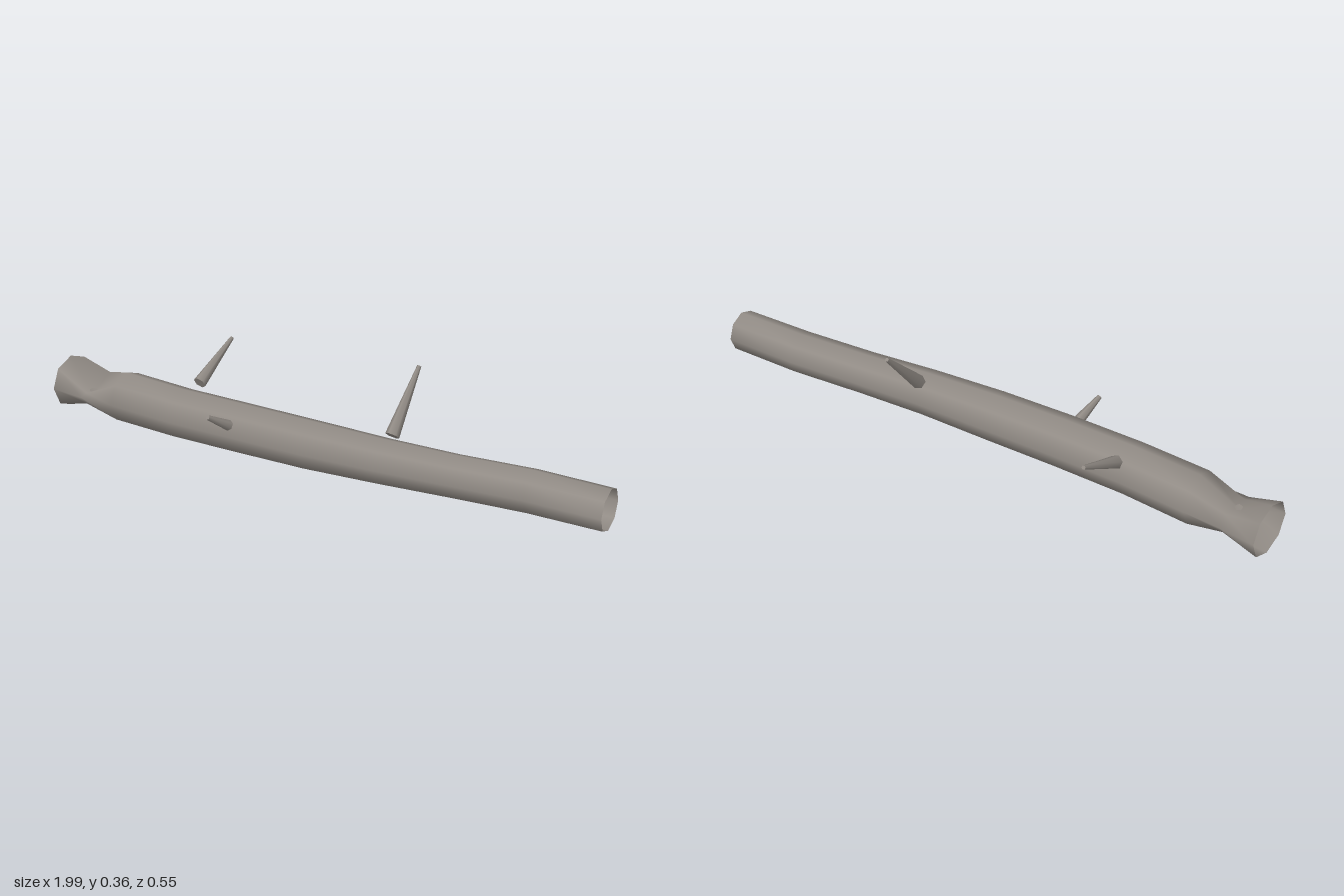
import * as THREE from 'three';

const SIDES = 8;

// Trunk rings: centre x, y, z and radius
const RINGS = [
  [-0.99, 0.097, 0.179, 0.094],
  [-0.865, 0.099, 0.17, 0.092],
  [-0.74, 0.1, 0.152, 0.09],
  [-0.5, 0.102, 0.125, 0.088],
  [-0.25, 0.105, 0.08, 0.087],
  [0, 0.106, 0.03, 0.085],
  [0.25, 0.108, -0.026, 0.078],
  [0.48, 0.109, -0.088, 0.073],
  [0.73, 0.113, -0.157, 0.073],
  [0.98, 0.114, -0.206, 0.071],
];

// Heights of the crushed ring, from its front point round over the top
const PINCH_RING = 1;
const PINCH_Y = [0.098, 0.106, 0.092, 0.137, 0.099, 0.064, 0.112, 0.066];

function trunkGeometry() {
  const positions = [], index = [];
  RINGS.forEach(([x, y, z, r], i) => {
    const a = RINGS[Math.max(i - 1, 0)], b = RINGS[Math.min(i + 1, RINGS.length - 1)];
    const len = Math.hypot(b[0] - a[0], b[2] - a[2]);
    const sx = -(b[2] - a[2]) / len, sz = (b[0] - a[0]) / len; // sideways direction
    for (let j = 0; j < SIDES; j++) {
      const t = (j / SIDES) * Math.PI * 2;
      const pinched = i === PINCH_RING;
      let side = Math.cos(t) * r;
      if (pinched && j % 4 === 2) side += 0.03; // sunken points sit toward the front
      positions.push(x + sx * side, pinched ? PINCH_Y[j] : y + Math.sin(t) * r, z + sz * side);
    }
  });
  for (let i = 0; i < RINGS.length - 1; i++) {
    for (let j = 0; j < SIDES; j++) {
      const a = i * SIDES + j, b = i * SIDES + ((j + 1) % SIDES);
      index.push(a, a + SIDES, b, b, a + SIDES, b + SIDES);
    }
  }
  const geo = new THREE.BufferGeometry();
  geo.setAttribute('position', new THREE.Float32BufferAttribute(positions, 3));
  geo.setIndex(index);
  geo.computeVertexNormals();
  return geo;
}

// Tapered twig between two points
function twig(name, from, to, baseRadius, tipRadius, material) {
  const a = new THREE.Vector3(...from), b = new THREE.Vector3(...to);
  const dir = b.clone().sub(a);
  const mesh = new THREE.Mesh(new THREE.CylinderGeometry(tipRadius, baseRadius, dir.length(), 6), material);
  mesh.position.copy(a).add(b).multiplyScalar(0.5);
  mesh.quaternion.setFromUnitVectors(new THREE.Vector3(0, 1, 0), dir.normalize());
  mesh.name = name;
  return mesh;
}

export function createModel() {
  const bark = new THREE.MeshStandardMaterial({ color: 0x918b85, side: THREE.DoubleSide });
  bark.name = 'greyBark';

  const group = new THREE.Group();
  group.name = 'fallenLog';

  // Hollow trunk, open at both ends, crushed near the thick end
  const trunk = new THREE.Mesh(trunkGeometry(), bark);
  trunk.name = 'trunk';
  group.add(trunk);

  // Broken twigs
  group.add(
    twig('backTwig', [-0.503, 0.18, 0.035], [-0.524, 0.281, -0.152], 0.023, 0.007, bark),
    twig('tallTwig', [0.245, 0.178, -0.075], [0.225, 0.362, -0.235], 0.024, 0.007, bark),
    twig('frontTwig', [-0.25, 0.145, 0.16], [-0.264, 0.2, 0.244], 0.018, 0.008, bark),
  );
  return group;
}
